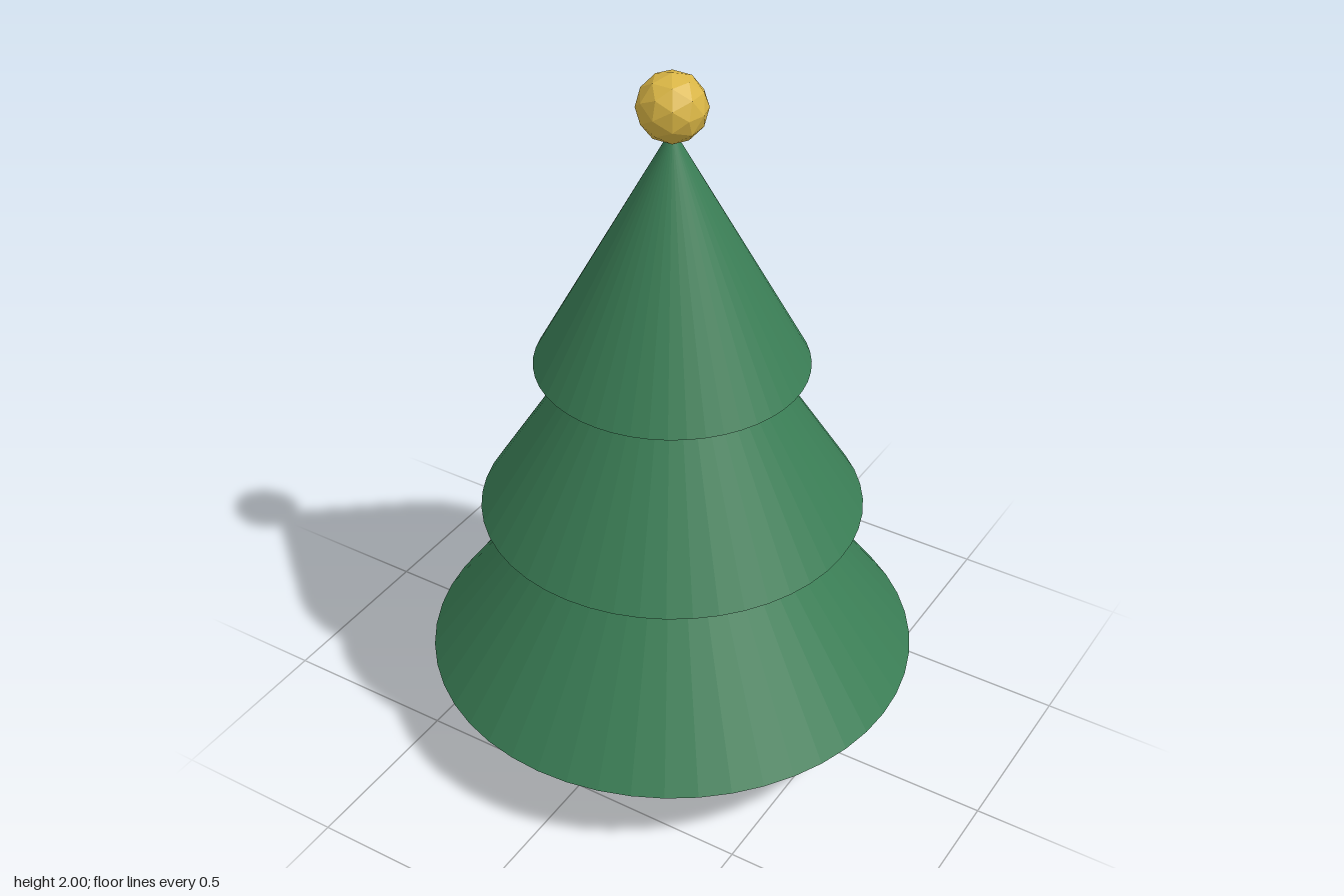
import * as THREE from 'three';

export function createModel() {
  const tree = new THREE.Group();
  tree.name = 'tree';

  const material = (name, color) => {
    const m = new THREE.MeshStandardMaterial({ color, flatShading: true });
    m.name = name;
    return m;
  };
  const green = material('needle green', 0x3a7d55);
  const brown = material('bark brown', 0x7a5439);
  const gold = material('gold', 0xd9b545);

  const add = (name, geometry, mat, y) => {
    const mesh = new THREE.Mesh(geometry, mat);
    mesh.name = name;
    mesh.position.y = y;
    tree.add(mesh);
  };

  // Trunk, running a little way into the lowest tier
  add('trunk', new THREE.CylinderGeometry(0.133, 0.133, 0.3, 32), brown, 0.15);

  // Three overlapping cones: name, base height, radius, height
  const tiers = [
    ['lowerBranches', 0.217, 0.693, 0.96],
    ['middleBranches', 0.704, 0.533, 0.853],
    ['upperBranches', 1.16, 0.373, 0.69],
  ];
  for (const [name, base, radius, height] of tiers) {
    add(name, new THREE.ConeGeometry(radius, height, 48), green, base + height / 2);
  }

  // Faceted ball on the tip
  add('topBall', new THREE.IcosahedronGeometry(0.093, 1), gold, 1.907);

  return tree;
}
